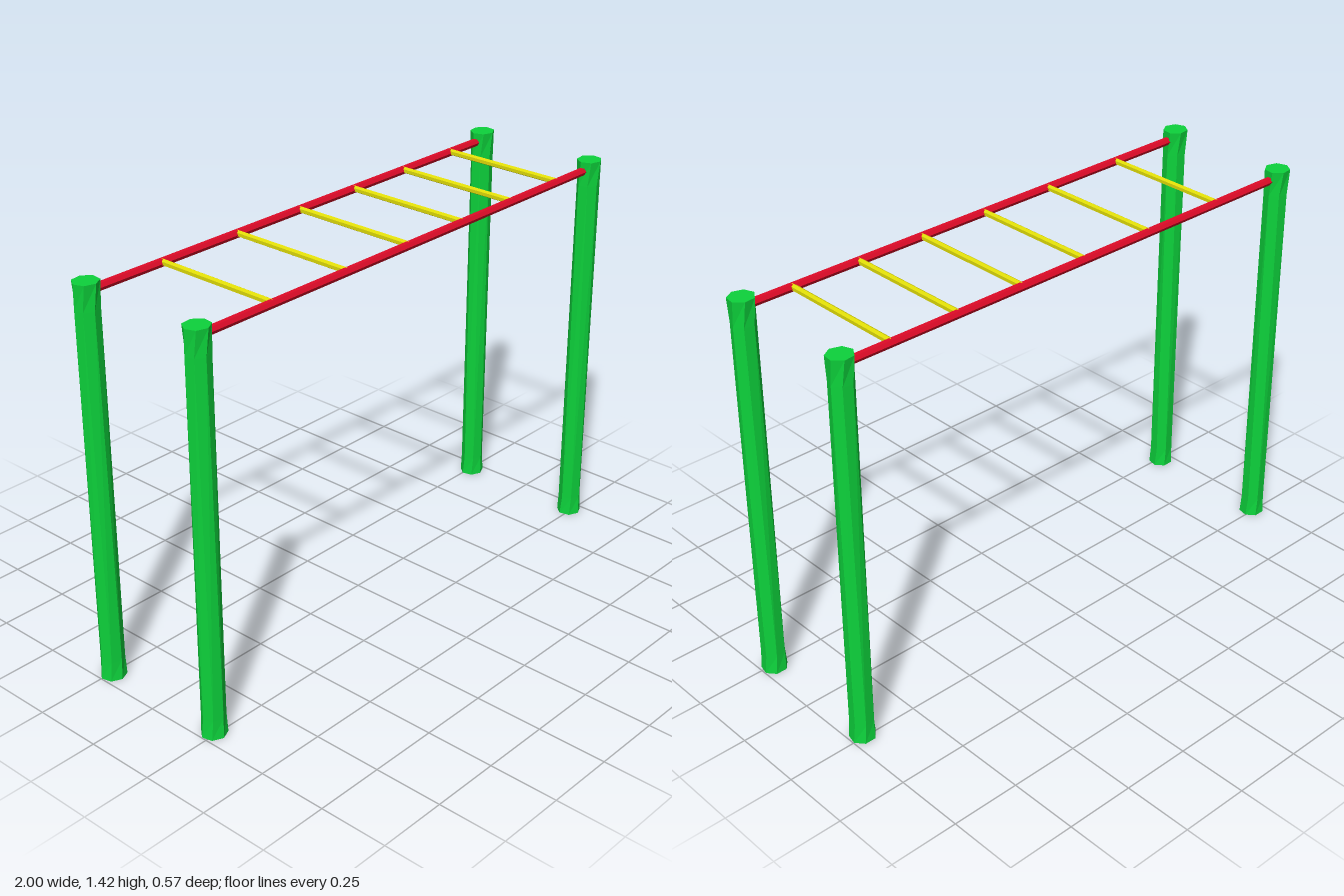
import * as THREE from 'three';

const HEIGHT = 1.42;
const BAR_Y = 1.385;
const POST_X = 0.953;
const POST_Z = 0.24;

// Hand-hewn seven-sided post: flared ends, slimmer and slightly twisted shaft
function postGeometry() {
  const levels = [0, 0.07, 1.33, HEIGHT];
  const radii = [0.046, 0.0425, 0.0425, 0.046];
  const twists = [0, 0.12, -0.1, 0.12];
  const geo = new THREE.CylinderGeometry(1, 1, 3, 7, 3);
  const pos = geo.attributes.position;
  for (let i = 0; i < pos.count; i++) {
    const k = Math.round(pos.getY(i) + 1.5);
    const x = pos.getX(i), z = pos.getZ(i);
    const c = Math.cos(twists[k]), s = Math.sin(twists[k]);
    pos.setXYZ(i, (x * c + z * s) * radii[k], levels[k], (z * c - x * s) * radii[k] * 0.95);
  }
  geo.computeVertexNormals();
  return geo;
}

export function createModel() {
  const group = new THREE.Group();
  const material = (name, color) => {
    const m = new THREE.MeshStandardMaterial({ color, flatShading: true });
    m.name = name;
    return m;
  };
  const green = material('post green', 0x0dd23b);
  const red = material('rail red', 0xe00b28);
  const yellow = material('rung yellow', 0xe0dc08);

  const add = (name, geo, mat, x, y, z) => {
    const mesh = new THREE.Mesh(geo, mat);
    mesh.name = name;
    mesh.position.set(x, y, z);
    group.add(mesh);
  };

  const post = postGeometry();
  const rail = new THREE.CylinderGeometry(0.0145, 0.0145, POST_X * 2, 6).rotateZ(Math.PI / 2);
  const rung = new THREE.CylinderGeometry(0.0115, 0.0115, POST_Z * 2, 6).rotateX(Math.PI / 2);

  // Four corner posts and the two long rails
  for (const sz of [-1, 1]) {
    const end = sz > 0 ? 'front' : 'back';
    for (const sx of [-1, 1]) {
      add(`${end}${sx > 0 ? 'Left' : 'Right'}Post`, post, green, sx * POST_X, 0, sz * POST_Z);
    }
    add(`${end}Rail`, rail, red, 0, BAR_Y, sz * POST_Z);
  }

  // Rungs, with spacing that tightens toward +x
  [-0.645, -0.317, -0.025, 0.245, 0.505, 0.765].forEach((x, i) =>
    add(`rung${i + 1}`, rung, yellow, x, BAR_Y + 0.002, 0));

  return group;
}
